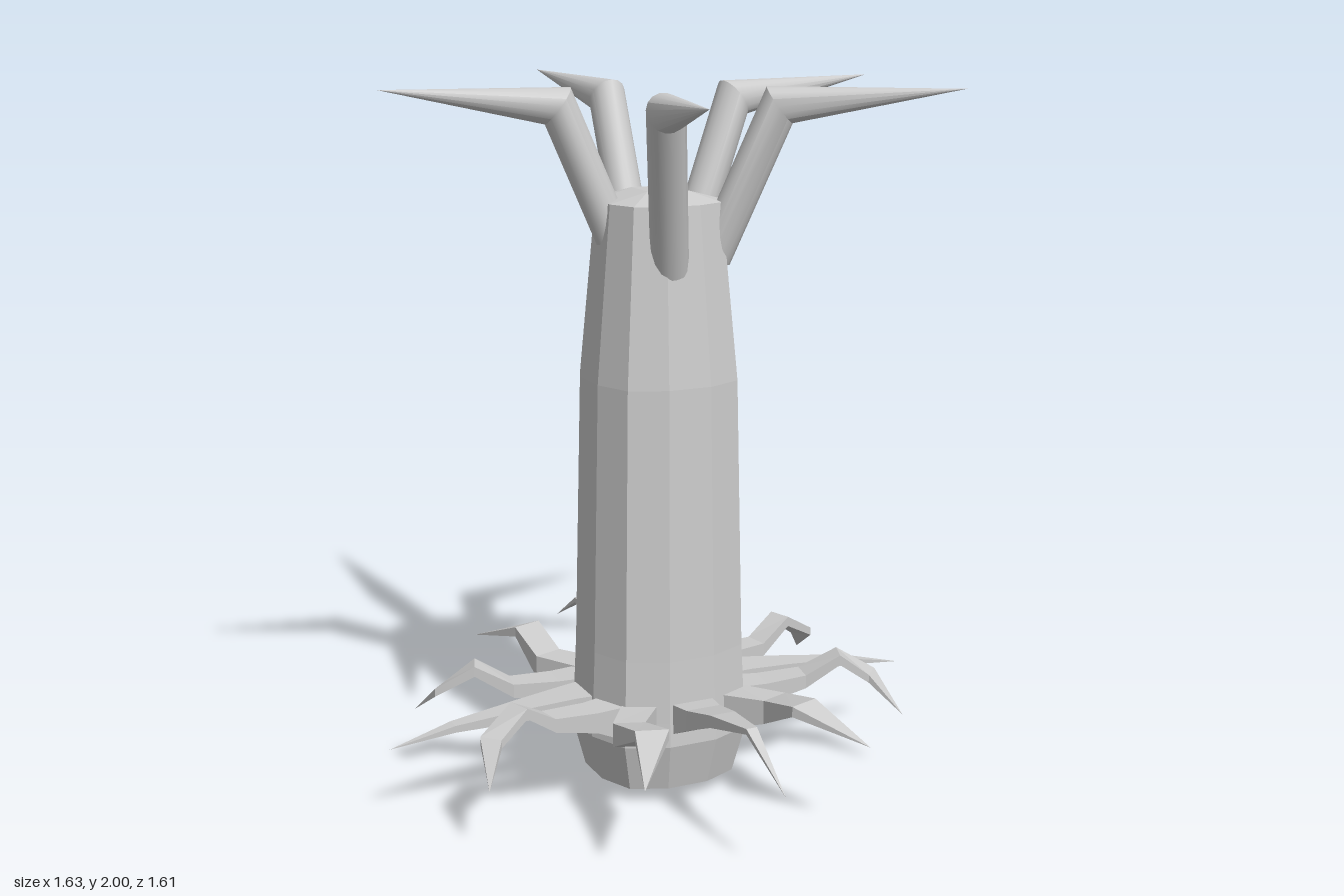
import * as THREE from 'three';
import { toCreasedNormals } from 'three/addons/utils/BufferGeometryUtils.js';

const V = (x, y, z) => new THREE.Vector3(x, y, z);
const UP = V(0, 1, 0);

// Skin a list of rings (equal point counts, counterclockwise about the path), with end caps
function loft(rings, crease) {
  const pos = [];
  const tri = (a, b, c) => {
    const area = b.clone().sub(a).cross(c.clone().sub(a)).length();
    if (area > 1e-8) for (const p of [a, b, c]) pos.push(p.x, p.y, p.z);
  };
  const n = rings[0].length;
  for (let r = 0; r < rings.length - 1; r++) {
    const a = rings[r], b = rings[r + 1];
    for (let i = 0; i < n; i++) {
      const j = (i + 1) % n;
      tri(a[i], a[j], b[j]);
      tri(a[i], b[j], b[i]);
    }
  }
  const first = rings[0], last = rings[rings.length - 1];
  for (let i = 1; i < n - 1; i++) {
    tri(first[0], first[i + 1], first[i]);
    tri(last[0], last[i], last[i + 1]);
  }
  const geo = new THREE.BufferGeometry();
  geo.setAttribute('position', new THREE.Float32BufferAttribute(pos, 3));
  geo.computeVertexNormals();
  return crease ? toCreasedNormals(geo, crease) : geo;
}

// Twelve-point rounded square: two points per side, one per corner
function trunkRing(r, y) {
  const ring = [];
  const quarter = [[-0.3, 1], [0.3, 1], [0.79, 0.79]];
  for (let q = 0; q < 4; q++) {
    for (const [x, z] of quarter) ring.push(V(x * r, y, z * r).applyAxisAngle(UP, q * Math.PI / 2));
  }
  return ring;
}

// Small square inside an end cap, its corners shared by three rim points each
function capRing(h, y) {
  const ring = [];
  const quarter = [[-h, h], [h, h], [h, h]];
  for (let q = 0; q < 4; q++) {
    for (const [x, z] of quarter) ring.push(V(x, y, z).applyAxisAngle(UP, q * Math.PI / 2));
  }
  return ring;
}

// Bent blade; stations are [x, y, z, halfWidth, halfHeight]
function rootGeometry(stations, sx, sz) {
  const pts = stations.map(([x, y, z]) => V(x * sx, y, z * sz));
  const rings = stations.map(([, , , w, h], i) => {
    const dir = pts[Math.min(i + 1, pts.length - 1)].clone().sub(pts[Math.max(i - 1, 0)]).setY(0).normalize();
    const side = UP.clone().cross(dir);
    return [[1, -1], [1, 1], [-1, 1], [-1, -1]].map(([s, u]) =>
      pts[i].clone().addScaledVector(side, s * w).addScaledVector(UP, u * h));
  });
  return loft(rings);
}

// Round tube with a mitred elbow that tapers to a point
function tentacleGeometry(base, elbow, tip, radius, sides = 16) {
  const d1 = elbow.clone().sub(base).normalize();
  const d2 = tip.clone().sub(elbow).normalize();
  const mitre = d1.clone().add(d2).normalize();
  const u = V(-d1.z, 0, d1.x).normalize();
  const v = d1.clone().cross(u);
  const start = base.clone().addScaledVector(d1, -0.06);
  const rings = [[], [], []];
  for (let i = 0; i < sides; i++) {
    const t = i / sides * Math.PI * 2;
    const off = u.clone().multiplyScalar(Math.cos(t) * radius).addScaledVector(v, Math.sin(t) * radius);
    rings[0].push(start.clone().add(off));
    const slide = -off.dot(mitre) / d1.dot(mitre);
    rings[1].push(elbow.clone().add(off).addScaledVector(d1, slide));
    rings[2].push(tip.clone());
  }
  return loft(rings, 0.6);
}

export function createModel() {
  const model = new THREE.Group();
  const flat = new THREE.MeshStandardMaterial({ color: 0xcccccc, flatShading: true });
  const smooth = new THREE.MeshStandardMaterial({ color: 0xcccccc });
  const add = (name, geo, mat, parent = model) => {
    const mesh = new THREE.Mesh(geo, mat);
    mesh.name = name;
    parent.add(mesh);
  };

  // Tapering trunk with domed ends
  const profile = [[0.205, 0.04], [0.24, 0.18], [0.236, 0.25], [0.228, 0.43], [0.21, 1.2], [0.165, 1.69]];
  add('trunk', loft([
    capRing(0.065, 0),
    ...profile.map(([r, y]) => trunkRing(r, y)),
    capRing(0.055, 1.72),
  ]), flat);

  // Ring of twelve roots, mirrored across both axes
  const roots = new THREE.Group();
  roots.name = 'roots';
  model.add(roots);
  const sideRoot = [[0.18, 0.245, 0, 0.07, 0.055], [0.28, 0.265, 0, 0.055, 0.03], [0.42, 0.265, 0, 0.04, 0.018],
    [0.63, 0.25, 0, 0.02, 0.01], [0.815, 0.215, 0, 0, 0]];
  const endRoot = [[0, 0.245, 0.18, 0.07, 0.055], [0, 0.28, 0.3, 0.052, 0.03], [0, 0.32, 0.42, 0.037, 0.018],
    [0, 0.352, 0.59, 0.016, 0.008], [0, 0.24, 0.785, 0, 0]];
  const wideRoot = [[0.17, 0.245, 0.125, 0.055, 0.055], [0.27, 0.265, 0.135, 0.045, 0.03], [0.4, 0.28, 0.145, 0.037, 0.02],
    [0.5, 0.343, 0.18, 0.035, 0.015], [0.595, 0.28, 0.215, 0.032, 0.012], [0.64, 0.187, 0.32, 0, 0]];
  const narrowRoot = [[0.13, 0.245, 0.17, 0.05, 0.055], [0.225, 0.27, 0.3, 0.045, 0.035],
    [0.23, 0.33, 0.46, 0.046, 0.015], [0.335, 0.265, 0.645, 0, 0]];
  for (const s of [1, -1]) {
    add('sideRoot', rootGeometry(sideRoot, s, 1), flat, roots);
    add('endRoot', rootGeometry(endRoot, 1, s), flat, roots);
    for (const t of [1, -1]) {
      add('wideRoot', rootGeometry(wideRoot, s, t), flat, roots);
      add('narrowRoot', rootGeometry(narrowRoot, s, t), flat, roots);
    }
  }

  // Five bent tentacles around the crown: base, elbow, tip
  const tentacles = new THREE.Group();
  tentacles.name = 'tentacles';
  model.add(tentacles);
  const bends = [
    [[-0.14, 1.62, -0.01], [-0.28, 1.95, -0.03], [-0.745, 1.998, -0.135]],
    [[0.15, 1.6, -0.08], [0.285, 1.95, -0.11], [0.755, 1.998, -0.175]],
    [[0.145, 1.59, 0.1], [0.275, 1.95, 0.185], [0.68, 1.998, 0.47]],
    [[-0.04, 1.57, 0.16], [-0.12, 1.95, 0.31], [-0.24, 1.998, 0.8]],
    [[-0.02, 1.61, -0.15], [-0.02, 1.95, -0.3], [-0.035, 1.998, -0.805]],
  ];
  for (const [base, elbow, tip] of bends) {
    add('tentacle', tentacleGeometry(V(...base), V(...elbow), V(...tip), 0.052), smooth, tentacles);
  }
  return model;
}
